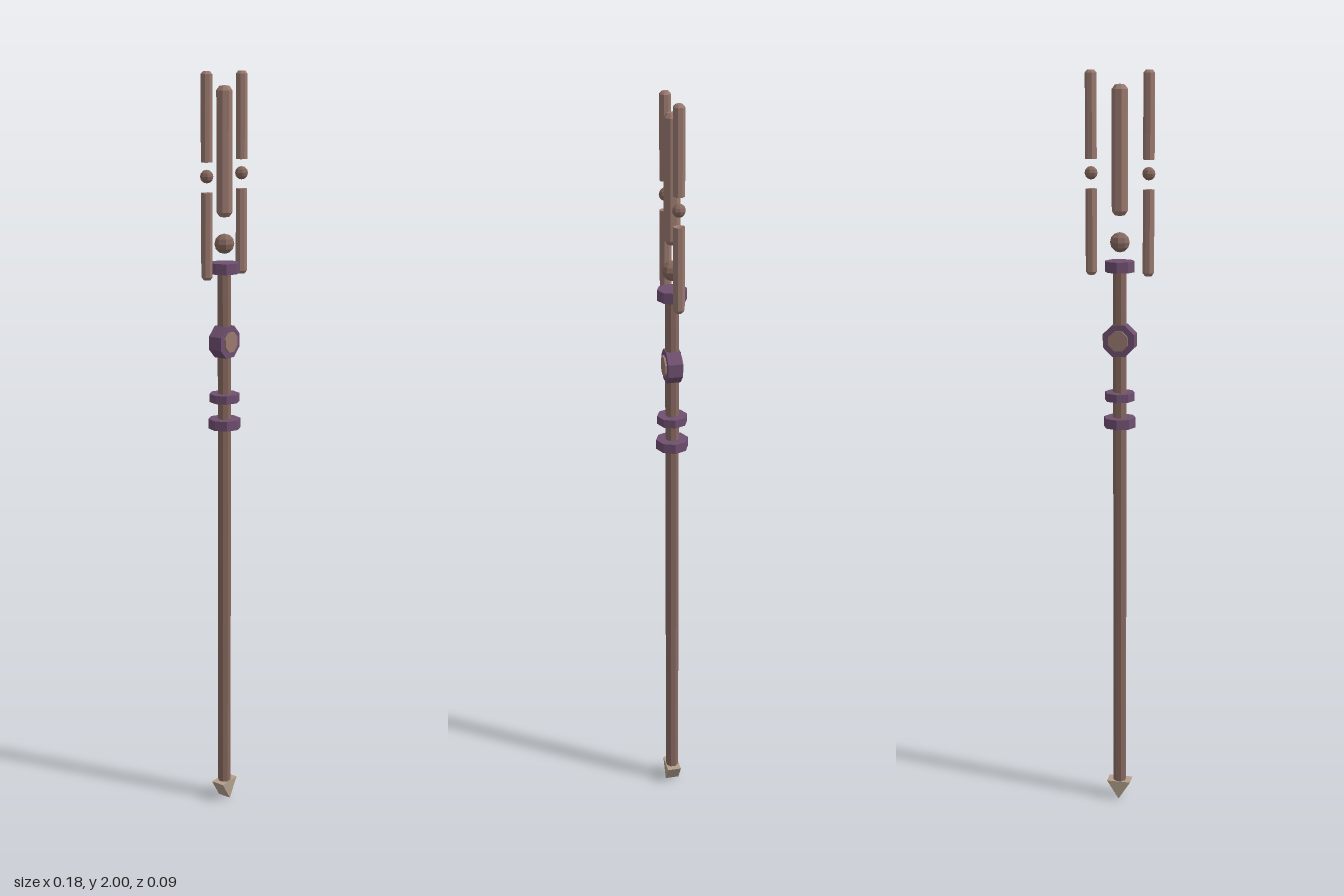
import * as THREE from 'three';

const mat = (name, color, extra = {}) =>
  Object.assign(new THREE.MeshStandardMaterial({ color, flatShading: true, ...extra }), { name });

export function createModel() {
  const wood = mat('shaft brown', 0x87695f);
  const rose = mat('rose brown', 0x9b7a70);
  const purple = mat('dull purple', 0x6f4f70);
  const bone = mat('bone', 0xb3a08c);
  const model = new THREE.Group();
  model.name = 'staff';

  const add = (name, geometry, material, x = 0, y = 0, z = 0) => {
    const mesh = new THREE.Mesh(geometry, material);
    mesh.name = name;
    mesh.position.set(x, y, z);
    model.add(mesh);
    return mesh;
  };
  const lathe = (points) =>
    new THREE.LatheGeometry(points.map(([r, y]) => new THREE.Vector2(r, y)), 8, Math.PI / 8);

  // Shaft
  add('shaft', new THREE.CylinderGeometry(0.018, 0.018, 1.46, 8).rotateY(Math.PI / 8), wood, 0, 0.78);

  // Wedge-shaped foot
  const wedge = new THREE.Shape([[-0.033, 0.053], [0, 0], [0.033, 0.053]].map(([x, y]) => new THREE.Vector2(x, y)));
  add('footSpike', new THREE.ExtrudeGeometry(wedge, { depth: 0.038, bevelEnabled: false }), bone, 0, 0, -0.019);

  // Collars around the shaft
  for (const [name, y, r, h] of [
    ['lowerCollar', 1.095, 0.043, 0.026],
    ['middleCollar', 1.165, 0.04, 0.022],
    ['topCollar', 1.508, 0.039, 0.028],
  ]) add(name, new THREE.CylinderGeometry(r, r, h, 8), purple, 0, y);

  // Octagonal medallion with a gem on both faces
  const medallion = new THREE.CylinderGeometry(0.045, 0.045, 0.038, 8).rotateY(Math.PI / 8).rotateX(Math.PI / 2);
  add('medallion', medallion, purple, 0, 1.315);
  const gem = new THREE.CylinderGeometry(0.028, 0.028, 0.048, 8).rotateY(Math.PI / 8).rotateX(Math.PI / 2);
  add('medallionGem', gem, rose, 0, 1.315);

  // Floating orb and central crystal bar
  add('floatingOrb', new THREE.SphereGeometry(0.026, 8, 6), wood, 0, 1.57);
  add('centralBar', lathe([[0, 1.637], [0.013, 1.639], [0.021, 1.65], [0.021, 1.953], [0.013, 1.964], [0, 1.966]]), rose);

  // Floating side bars, hollowed where they face the small orb
  for (const [side, x] of [['left', 0.075], ['right', -0.075]]) {
    add(side + 'UpperBar', lathe([[0, 1.79], [0.015, 1.78], [0.015, 1.993], [0.009, 2], [0, 2]]), rose, x);
    add(side + 'LowerBar', lathe([[0, 1.485], [0.009, 1.485], [0.015, 1.493], [0.015, 1.705], [0, 1.695]]), rose, x);
    add(side + 'SmallOrb', new THREE.SphereGeometry(0.017, 8, 6), wood, x, 1.745);
  }
  return model;
}
